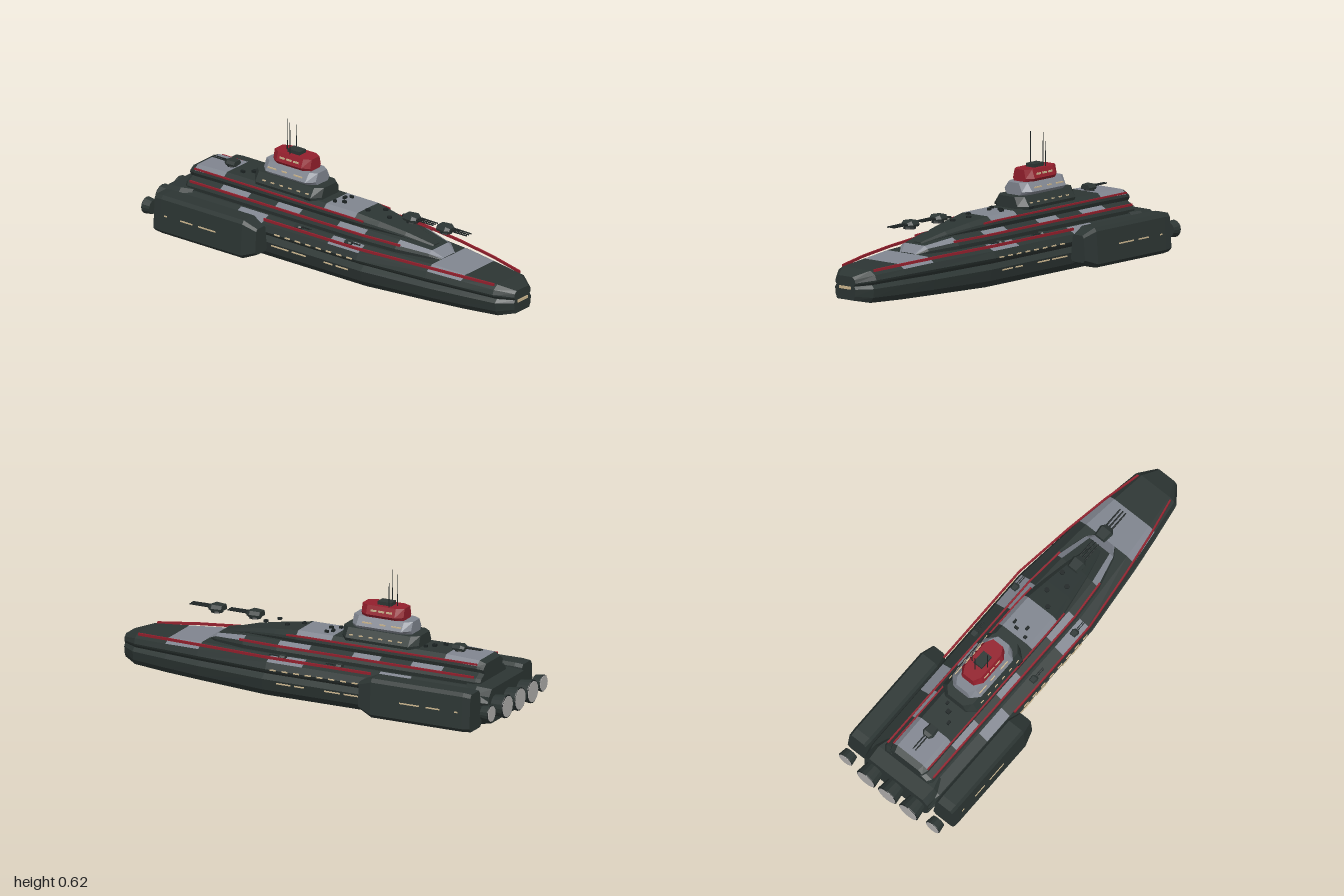
import * as THREE from 'three';

const mat = (name, color, side = THREE.FrontSide) => {
  const m = new THREE.MeshStandardMaterial({ color, side });
  m.name = name;
  m.flatShading = true;
  return m;
};
const DARK = 0, GREY = 1, RED = 2;
const dark = mat('darkArmour', 0x2c3533);
const grey = mat('greyArmour', 0x80858f);
const red = mat('redTrim', 0x931f2c);
const black = mat('gunMetal', 0x1c2323);
const tan = mat('windowLight', 0xcdb78f);
const glow = mat('engineGlow', 0xb0aeac);
const palette = [dark, grey, red];

// Closed loft through rings listed front to back; rings run anticlockwise seen from +z.
function loft(name, stations, colour = () => DARK) {
  const tris = palette.map(() => []);
  const n = stations[0].ring.length;
  const at = (i, j) => [...stations[i].ring[j % n], stations[i].z];
  for (let i = 0; i < stations.length - 1; i++) {
    for (let j = 0; j < n; j++) {
      const side = j >= n / 2 && j < n - 1 ? n - 2 - j : j;
      const a = at(i, j), b = at(i, j + 1), c = at(i + 1, j + 1), d = at(i + 1, j);
      tris[colour(i, side)].push(...a, ...d, ...c, ...a, ...c, ...b);
    }
  }
  const last = stations.length - 1;
  for (let j = 1; j < n - 1; j++) {
    tris[colour(0, -1)].push(...at(0, 0), ...at(0, j), ...at(0, j + 1));
    tris[colour(last - 1, -1)].push(...at(last, 0), ...at(last, j + 1), ...at(last, j));
  }
  const g = new THREE.BufferGeometry();
  g.setAttribute('position', new THREE.Float32BufferAttribute(tris.flat(), 3));
  let start = 0;
  tris.forEach((t, k) => {
    if (t.length) g.addGroup(start, t.length / 3, k);
    start += t.length / 3;
  });
  g.computeVertexNormals();
  const m = new THREE.Mesh(g, palette);
  m.name = name;
  return m;
}

// Full ring from a right-hand half profile, bottom to top
const mirror = (half) => [...half, ...half.map(([x, y]) => [-x, y]).reverse()];

// Deck tier: stations are [z, halfWidth, bottom, top]; profile is [width share, height share]
function tier(name, rows, profile, colour) {
  return loft(name, rows.map(([z, w, b, t]) => ({
    z, ring: mirror(profile.map(([u, v]) => [u * w, b + v * (t - b)])),
  })), colour);
}

export function createModel() {
  const ship = new THREE.Group();
  ship.name = 'warship';
  const add = (name, geo, m, x, y, z, parent = ship) => {
    const mesh = new THREE.Mesh(geo, m);
    mesh.name = name;
    mesh.position.set(x, y, z);
    parent.add(mesh);
    return mesh;
  };
  const box = (name, m, w, h, d, x, y, z, parent) =>
    add(name, new THREE.BoxGeometry(w, h, d), m, x, y, z, parent);

  // Lower and upper hull
  ship.add(tier('lowerHull', [
    [1, 0.062, 0.035, 0.1], [0.93, 0.115, 0.02, 0.103], [0.75, 0.145, 0.013, 0.105],
    [0.57, 0.17, 0.009, 0.105], [0.22, 0.207, 0, 0.108], [-0.78, 0.207, 0, 0.108], [-0.93, 0.19, 0.03, 0.108],
  ], [[0.79, 0], [0.93, 0.3], [0.99, 0.8], [0.86, 1]]));
  ship.add(tier('upperHull', [
    [1, 0.06, 0.1, 0.143], [0.92, 0.118, 0.103, 0.167], [0.75, 0.146, 0.105, 0.176],
    [0.57, 0.172, 0.105, 0.187], [0.2, 0.212, 0.107, 0.192], [0.02, 0.212, 0.107, 0.192],
    [-0.36, 0.212, 0.107, 0.192], [-0.52, 0.212, 0.107, 0.192], [-0.86, 0.21, 0.107, 0.192], [-0.93, 0.19, 0.107, 0.18],
  ], [[0.84, 0], [0.97, 0.22], [1, 0.36], [0.93, 0.72], [0.7, 1]],
  (i, j) => ((i === 2 && j >= 3 && j <= 4) || ((i === 4 || i === 6) && j === 3) ? GREY : DARK)));
  ship.add(tier('engineBlock', [[-0.8, 0.17, 0.05, 0.2], [-0.86, 0.19, 0.03, 0.2], [-0.935, 0.185, 0.04, 0.195]],
    [[0.88, 0], [1, 0.2], [1, 0.8], [0.85, 1]]));

  // Stepped decks with grey armour panels
  ship.add(tier('middleDeck', [
    [0.57, 0.05, 0.18, 0.19], [0.52, 0.085, 0.18, 0.222], [0.36, 0.128, 0.18, 0.242], [0.18, 0.142, 0.18, 0.246],
    [0.02, 0.142, 0.18, 0.246], [-0.2, 0.142, 0.18, 0.246], [-0.34, 0.142, 0.18, 0.246], [-0.5, 0.142, 0.18, 0.246],
    [-0.66, 0.142, 0.18, 0.246], [-0.84, 0.142, 0.18, 0.243], [-0.86, 0.125, 0.18, 0.235],
  ], [[0.95, 0], [1, 0.45], [0.94, 0.72], [0.7, 1]],
  (i, j) => ((i <= 1 && j === 2) || (i === 0 && j === 3) || ([3, 5, 7].includes(i) && j === 2) ? GREY : DARK)));
  ship.add(tier('upperDeck', [
    [0.5, 0.025, 0.215, 0.23], [0.36, 0.06, 0.23, 0.264], [0.22, 0.085, 0.235, 0.285], [0.1, 0.104, 0.235, 0.3],
    [-0.08, 0.106, 0.235, 0.3], [-0.5, 0.106, 0.235, 0.3], [-0.66, 0.106, 0.235, 0.3], [-0.83, 0.106, 0.235, 0.294],
    [-0.86, 0.095, 0.235, 0.28],
  ], [[0.88, 0], [1, 0.45], [0.97, 0.65], [0.72, 1]],
  (i, j) => ((i === 3 || i === 6) && j >= 2 && j <= 3 ? GREY : DARK)));

  // Command tower: three stacked blocks with bevelled ends
  const block = (name, front, back, w, b, t, profile, c) => ship.add(tier(name, [
    [front, w * 0.6, b, t], [front - 0.035, w, b, t], [back + 0.035, w, b, t], [back, w * 0.6, b, t],
  ], profile, () => c));
  block('towerBase', -0.12, -0.51, 0.103, 0.297, 0.354, [[0.95, 0], [1, 0.25], [0.72, 1]], DARK);
  block('towerMiddle', -0.165, -0.465, 0.084, 0.352, 0.41, [[0.74, 0], [1, 0.32], [0.64, 1]], GREY);
  block('towerBridge', -0.205, -0.42, 0.063, 0.408, 0.465, [[0.82, 0], [1, 0.28], [0.75, 1]], RED);
  box('towerCap', dark, 0.048, 0.017, 0.07, 0, 0.473, -0.315);
  for (const [x, z, top] of [[-0.037, -0.325, 0.62], [0, -0.37, 0.615], [0.037, -0.345, 0.58]]) {
    add('antenna', new THREE.CylinderGeometry(0.0013, 0.0028, top - 0.46, 6), black, x, (top + 0.46) / 2, z);
  }

  // Side pods
  const podRing = [[0.205, 0.02], [0.298, 0.02], [0.315, 0.038], [0.304, 0.188], [0.292, 0.205],
    [0.218, 0.205], [0.205, 0.19], [0.19, 0.038]];
  for (const s of [1, -1]) {
    const ring = (k) => {
      const r = podRing.map(([x, y]) => [s * (0.256 + (x - 0.256) * k), 0.113 + (y - 0.113) * k]);
      return s > 0 ? r : r.reverse();
    };
    ship.add(loft(s > 0 ? 'leftPod' : 'rightPod', [
      { z: -0.32, ring: ring(0.68) }, { z: -0.39, ring: ring(1) },
      { z: -0.86, ring: ring(1) }, { z: -0.9, ring: ring(0.96) },
    ]));
  }

  // Red rails along the deck edges: points are [x, y, z]
  const rail = (name, points, w, h) => {
    for (const s of [1, -1]) {
      ship.add(loft(name, points.map(([x, y, z]) => ({
        z, ring: [[s * x - w, y - h], [s * x + w, y - h], [s * x + w, y + h], [s * x - w, y + h]],
      })), () => RED));
    }
  };
  rail('lowerRail', [[0.095, 0.167, 0.91], [0.135, 0.179, 0.72], [0.17, 0.188, 0.5], [0.208, 0.195, 0.2], [0.208, 0.195, -0.34]], 0.004, 0.006);
  rail('middleRail', [[0.118, 0.227, 0.38], [0.134, 0.229, 0.18], [0.134, 0.229, -0.83]], 0.004, 0.005);
  rail('upperRail', [[0.098, 0.277, 0.15], [0.101, 0.28, 0.05], [0.101, 0.28, -0.83]], 0.0035, 0.004);

  // Engines
  for (const [x, r, front, back] of [[0, 0.055, -0.93, -0.995], [0.125, 0.055, -0.93, -0.995],
    [-0.125, 0.055, -0.93, -0.995], [0.257, 0.04, -0.942, -0.982], [-0.257, 0.04, -0.942, -0.982]]) {
    const engine = new THREE.Group();
    engine.name = 'engine';
    engine.position.set(x, 0.113, 0);
    ship.add(engine);
    add('nozzle', new THREE.CylinderGeometry(r * 0.85, r, front - back, 16).rotateX(Math.PI / 2),
      dark, 0, 0, (front + back) / 2, engine);
    add('nozzleRing', new THREE.TorusGeometry(r * 0.93, r * 0.07, 6, 16), black, 0, 0, back, engine);
    add('engineFace', new THREE.CylinderGeometry(r * 0.9, r * 0.9, 0.006, 16).rotateX(Math.PI / 2),
      glow, 0, 0, back - 0.002, engine);
  }

  // Gun turrets, the aft one turned around
  const turret = (x, y, z, size, barrels, turn = 0) => {
    const t = new THREE.Group();
    t.name = 'gunTurret';
    t.position.set(x, y, z);
    t.scale.setScalar(size);
    t.rotation.y = turn;
    ship.add(t);
    add('turretBase', new THREE.CylinderGeometry(0.026, 0.03, 0.012, 8), black, 0, 0.006, 0, t);
    t.add(tier('turretHouse', [[0.035, 0.022, 0.012, 0.03], [0.015, 0.036, 0.01, 0.038], [-0.035, 0.03, 0.01, 0.036]],
      [[0.9, 0], [1, 0.4], [0.7, 1]]));
    for (let i = 0; i < barrels; i++) {
      add('gunBarrel', new THREE.CylinderGeometry(0.0035, 0.0045, 0.11, 6).rotateX(Math.PI / 2),
        black, (i - (barrels - 1) / 2) * 0.016, 0.023, 0.078, t);
    }
  };
  turret(0, 0.3, 0.555, 1, 3);
  turret(0, 0.3, 0.36, 1, 3);
  turret(0, 0.298, -0.69, 0.85, 2, Math.PI);
  for (const s of [1, -1]) {
    for (const z of [0.13, -0.16]) turret(s * 0.175, 0.187, z, 0.5, 2);
    box('sideSensor', black, 0.01, 0.012, 0.03, s * 0.1, 0.305, -0.17);
  }

  // Small deck fittings
  for (const [x, z, w, d] of [[-0.02, -0.02, 0.012, 0.02], [0.02, -0.05, 0.02, 0.012], [0.045, -0.03, 0.01, 0.02],
    [-0.04, -0.06, 0.014, 0.014], [0, -0.56, 0.02, 0.02], [0.03, -0.53, 0.012, 0.016], [-0.035, -0.6, 0.012, 0.02]]) {
    box('deckFitting', black, w, 0.012, d, x, 0.305, z);
  }
  for (const [x, z] of [[0.03, 0.29], [-0.03, 0.25], [0.03, 0.18], [-0.025, 0.12]]) {
    add('deckHatch', new THREE.CylinderGeometry(0.012, 0.012, 0.008, 8), black, x, 0.304, z);
  }

  // Lit windows: rows of [x, y, z, length]
  box('bowWindow', tan, 0.07, 0.013, 0.008, 0, 0.091, 1);
  box('bowWindowBand', tan, 0.098, 0.006, 0.008, 0, 0.095, 0.995);
  const rows = [[0.309, 0.113, -0.59, 0.1], [0.309, 0.113, -0.71, 0.07], [0.309, 0.113, -0.83, 0.015],
    [0.203, 0.075, 0.11, 0.07], [0.203, 0.075, 0.03, 0.05], [0.203, 0.075, -0.14, 0.08], [0.203, 0.075, -0.25, 0.1],
    [0.071, 0.386, -0.25, 0.05], [0.071, 0.386, -0.33, 0.03], [0.071, 0.386, -0.4, 0.05],
    [0.054, 0.441, -0.275, 0.03], [0.054, 0.441, -0.315, 0.03], [0.054, 0.441, -0.355, 0.03]];
  for (let k = 0; k < 8; k++) {
    rows.push([0.211, 0.138, 0.16 - k * 0.06, 0.03]);
    if (k < 6) rows.push([0.092, 0.325, -0.18 - k * 0.05, 0.02]);
  }
  for (const [x, y, z, l] of rows) {
    const h = x < 0.06 ? 0.012 : 0.006;
    for (const s of [1, -1]) box('window', tan, 0.007, h, l, s * x, y, z);
  }
  return ship;
}
